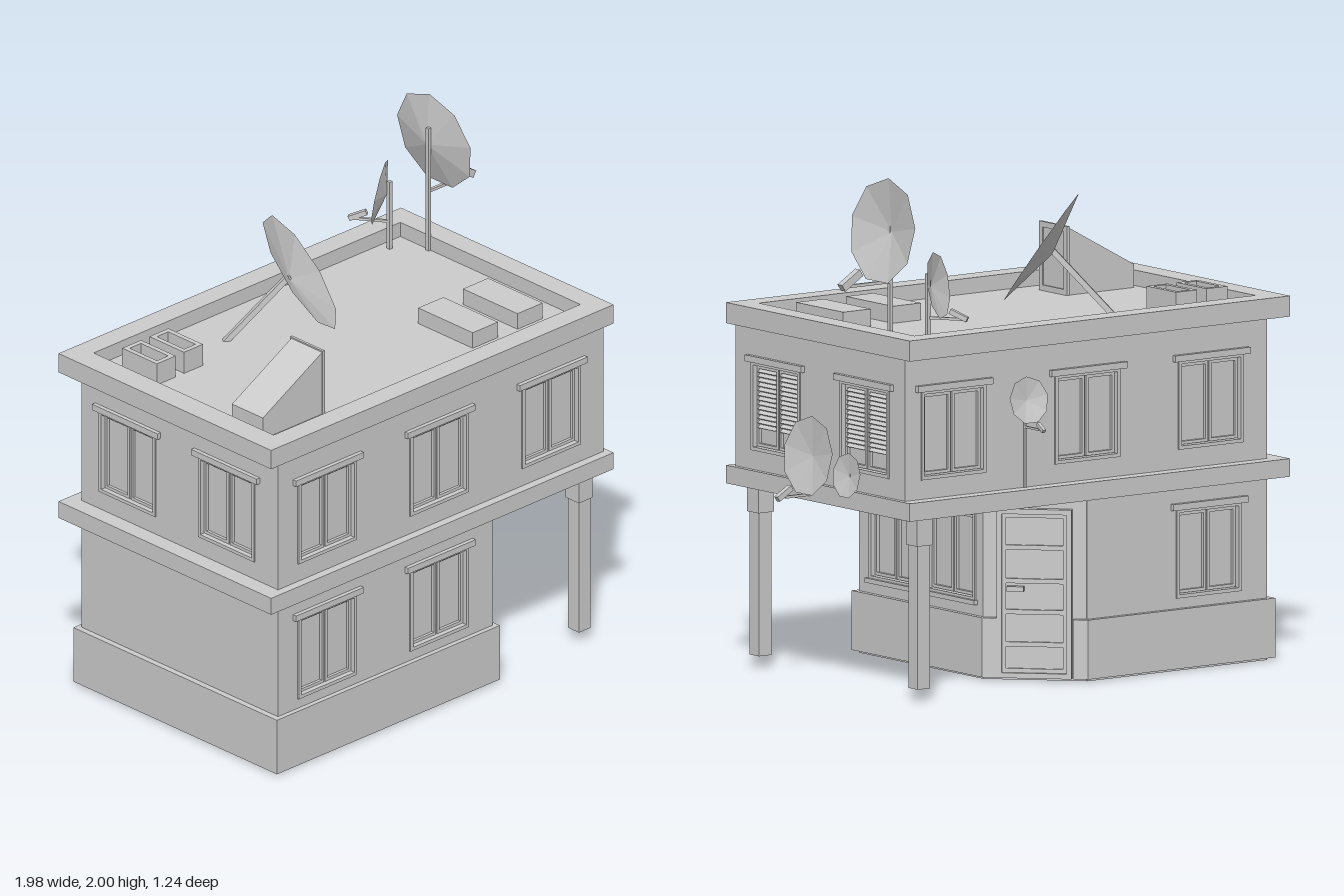
import * as THREE from 'three';

const mat = new THREE.MeshStandardMaterial({ color: 0xcccccc, flatShading: true });
const thin = new THREE.MeshStandardMaterial({ color: 0xcccccc, flatShading: true, side: THREE.DoubleSide });
const V = (x, y, z) => new THREE.Vector3(x, y, z);

function mesh(name, geo, parent, m = mat) {
  const o = new THREE.Mesh(geo, m);
  o.name = name;
  parent.add(o);
  return o;
}

// Box given by its lower and upper limits on each axis
function box(name, parent, x0, x1, y0, y1, z0, z1) {
  const o = mesh(name, new THREE.BoxGeometry(x1 - x0, y1 - y0, z1 - z0), parent);
  o.position.set((x0 + x1) / 2, (y0 + y1) / 2, (z0 + z1) / 2);
  return o;
}

// Square bar running from a to b
function beam(name, parent, a, b, w, d = w) {
  const o = mesh(name, new THREE.BoxGeometry(w, d, a.distanceTo(b)), parent);
  o.position.copy(a).lerp(b, 0.5);
  o.lookAt(b);
  return o;
}

function rect(C, x0, x1, y0, y1) {
  return new C([[x0, y0], [x1, y0], [x1, y1], [x0, y1]].map(p => new THREE.Vector2(...p)));
}

function extrude(shape, depth) {
  return new THREE.ExtrudeGeometry(shape, { depth, bevelEnabled: false });
}

// Rectangular frame in the xy plane, from z0 to z1
function frame(name, parent, x0, x1, y0, y1, b, z0, z1) {
  const s = rect(THREE.Shape, x0, x1, y0, y1);
  s.holes.push(rect(THREE.Path, x0 + b, x1 - b, y0 + b, y1 - b));
  mesh(name, extrude(s, z1 - z0), parent).position.z = z0;
}

// Two-sash window; local +z points out of the wall
function makeWindow(parent, x, y, { sill, blinds }) {
  const g = new THREE.Group();
  g.name = 'window';
  g.position.set(x, y, 0);
  frame('windowFrame', g, -0.155, 0.155, 0, 0.345, 0.014, -0.03, 0.006);
  box('glass', g, -0.15, 0.15, 0.005, 0.34, -0.03, -0.024);
  for (const c of [-0.071, 0.071]) {
    frame('sash', g, c - 0.068, c + 0.068, 0.016, 0.329, 0.012, -0.026, -0.012);
    if (blinds) for (let i = 0; i < 13; i++) {
      const s = box('blindSlat', g, c - 0.056, c + 0.056, 0, 0.003, -0.009, 0.009);
      s.position.set(c, 0.31 - i * 0.018, -0.014);
      s.rotation.x = 0.7;
    }
  }
  box('lintel', g, -0.18, 0.18, 0.342, 0.367, -0.01, 0.017);
  if (sill) box('windowSill', g, -0.165, 0.165, -0.014, 0.004, -0.01, 0.017);
  parent.add(g);
}

// Wall with window openings, outer face at local z = 0
function wall(name, parent, [cx, cz], turn, len, y0, y1, windows = [], wy = 0, opt = {}) {
  const g = new THREE.Group();
  g.name = name;
  const s = rect(THREE.Shape, -len / 2, len / 2, y0, y1);
  for (const x of windows) s.holes.push(rect(THREE.Path, x - 0.15, x + 0.15, wy + 0.005, wy + 0.34));
  mesh('wallPanel', extrude(s, 0.03), g).position.z = -0.03;
  for (const x of windows) makeWindow(g, x, wy, opt);
  g.position.set(cx, 0, cz);
  g.rotation.y = turn;
  parent.add(g);
  return g;
}

// Faceted dish facing direction n, centre of the rim at c
function dish(parent, c, n, r, depth) {
  const geo = new THREE.ConeGeometry(r, depth, 9, 1, true);
  geo.rotateX(-Math.PI / 2).translate(0, 0, -depth / 2);
  const o = mesh('dish', geo, parent, thin);
  o.position.copy(c);
  o.lookAt(c.clone().add(n));
}

function plan(points) {
  return new THREE.Shape(points.map(([x, z]) => new THREE.Vector2(x, -z)));
}

// Plan outline raised from y0 to y1
function raised(name, parent, shape, y0, y1) {
  const o = mesh(name, extrude(shape, y1 - y0).rotateX(-Math.PI / 2), parent);
  o.position.y = y0;
}

export function createModel() {
  const model = new THREE.Group();
  model.name = 'house';
  const H = Math.PI / 2;

  // Upper storey
  wall('upperFront', model, [-0.055, 0.585], 0, 1.73, 0.78, 1.33, [-0.605, -0.01, 0.585], 0.855);
  wall('upperBack', model, [-0.055, -0.495], Math.PI, 1.73, 0.78, 1.33, [-0.635, 0.005, 0.595], 0.855);
  wall('upperRight', model, [0.81, 0.045], H, 1.078, 0.78, 1.33, [-0.28, 0.285], 0.855, { blinds: true });
  wall('upperLeft', model, [-0.92, 0.045], -H, 1.078, 0.78, 1.33, [-0.285, 0.26], 0.855);

  // Lower storey with its cut corner
  wall('lowerFront', model, [-0.35, 0.585], 0, 1.14, 0, 0.71, [-0.31, 0.285], 0.28);
  wall('lowerBack', model, [-0.49, -0.495], Math.PI, 0.86, 0, 0.71, [0.15], 0.28);
  wall('lowerRight', model, [0.22, 0.185], H, 0.79, 0, 0.71, [-0.175, 0.19], 0.295, { sill: true });
  wall('lowerLeft', model, [-0.92, 0.045], -H, 1.078, 0, 0.71);
  const corner = wall('doorWall', model, [0.08, -0.35], 1.5 * H, 0.4, 0, 0.71);
  raised('groundFloor', model, plan([[0.2, -0.2], [0.2, 0.57], [-0.9, 0.57], [-0.9, -0.48], [-0.07, -0.48]]), 0.19, 0.21);

  // Door with cross bars and handle
  const door = new THREE.Group();
  door.name = 'door';
  frame('doorFrame', door, -0.145, 0.145, 0.01, 0.665, 0.02, 0, 0.03);
  box('doorLeaf', door, -0.126, 0.126, 0.03, 0.646, 0, 0.01);
  frame('doorRim', door, -0.126, 0.126, 0.03, 0.646, 0.016, 0.01, 0.018);
  for (const y of [0.14, 0.265, 0.385, 0.515]) box('doorBar', door, -0.11, 0.11, y - 0.009, y + 0.009, 0.01, 0.02);
  box('doorHandle', door, -0.105, -0.04, 0.345, 0.365, 0.01, 0.035);
  corner.add(door);

  // Skirt around the foot, open at the door
  raised('baseSkirt', model, plan([
    [0.2, -0.265], [0.24, -0.225], [0.24, 0.605], [-0.945, 0.605], [-0.945, -0.515], [-0.05, -0.515], [-0.01, -0.475],
    [-0.03, -0.45], [-0.07, -0.46], [-0.89, -0.46], [-0.89, 0.55], [0.19, 0.55], [0.19, -0.2], [0.175, -0.245],
  ]), 0.01, 0.24);

  // Floor band, roof deck and parapet
  box('floorBand', model, -0.99, 0.83, 0.71, 0.78, -0.55, 0.62);
  box('roofDeck', model, -0.95, 0.79, 1.33, 1.35, -0.5, 0.57);
  const rim = plan([[-0.99, 0.62], [0.83, 0.62], [0.83, -0.55], [-0.99, -0.55]]);
  rim.holes.push(rect(THREE.Path, -0.89, 0.74, -0.53, 0.46));
  raised('parapet', model, rim, 1.33, 1.41);

  // Pillars under the overhang
  for (const z of [0.545, -0.465]) {
    box('pillar', model, 0.69, 0.75, 0.045, 0.6, z - 0.03, z + 0.03);
    box('pillarHead', model, 0.683, 0.757, 0.6, 0.71, z - 0.036, z + 0.036);
  }

  // Sloped roof hut with its door
  const hut = new THREE.Shape([[-0.86, 1.34], [-0.54, 1.34], [-0.54, 1.615], [-0.86, 1.44]].map(p => new THREE.Vector2(...p)));
  mesh('roofHut', extrude(hut, 0.17), model).position.z = 0.27;
  const hutDoor = new THREE.Group();
  hutDoor.name = 'hutDoor';
  frame('hutDoorFrame', hutDoor, -0.09, 0.09, 1.35, 1.618, 0.022, -0.005, 0.006);
  hutDoor.position.set(-0.54, 0, 0.353);
  hutDoor.rotation.y = H;
  model.add(hutDoor);

  // Open vents and flat roof boxes
  for (const x of [-0.775, -0.63]) {
    const v = plan([[x - 0.05, -0.18], [x + 0.05, -0.18], [x + 0.05, -0.37], [x - 0.05, -0.37]]);
    v.holes.push(rect(THREE.Path, x - 0.03, x + 0.03, 0.2, 0.35));
    raised('roofVent', model, v, 1.35, 1.44);
  }
  for (const x of [0.332, 0.57]) box('roofBox', model, x - 0.067, x + 0.067, 1.35, 1.416, 0.13, 0.43);

  // Large roof dish on a leaning strut
  dish(model, V(-0.14, 1.625, -0.1), V(0.58, 0.56, 0.58), 0.255, 0.05);
  beam('dishStrut', model, V(-0.37, 1.34, -0.28), V(-0.17, 1.61, -0.13), 0.022);

  // Tall roof dish with mast, arm and feed
  dish(model, V(0.783, 1.8, -0.315), V(0.99, 0.14, 0), 0.205, 0.045);
  box('dishMast', model, 0.728, 0.743, 1.34, 1.87, -0.308, -0.293);
  beam('dishArm', model, V(0.735, 1.6, -0.303), V(0.94, 1.6, -0.303), 0.012);
  beam('dishFeed', model, V(0.885, 1.65, -0.303), V(0.97, 1.597, -0.303), 0.03);

  // Small roof dish facing the back
  dish(model, V(0.61, 1.59, -0.44), V(-0.57, 0.17, -0.81), 0.13, 0.03);
  box('dishMast', model, 0.632, 0.648, 1.34, 1.635, -0.423, -0.407);
  beam('dishArm', model, V(0.64, 1.465, -0.415), V(0.56, 1.465, -0.53), 0.01);
  beam('dishFeed', model, V(0.59, 1.495, -0.49), V(0.55, 1.465, -0.545), 0.02);

  // Two dishes on the side wall
  dish(model, V(0.843, 0.885, 0.08), V(0.99, 0.13, 0), 0.155, 0.025);
  beam('dishArm', model, V(0.8, 0.735, 0.087), V(0.945, 0.735, 0.087), 0.01);
  beam('dishFeed', model, V(0.92, 0.77, 0.087), V(0.985, 0.731, 0.087), 0.022);
  dish(model, V(0.843, 0.84, -0.165), V(0.99, 0.13, 0), 0.088, 0.015);
  beam('dishBracket', model, V(0.8, 0.84, -0.165), V(0.83, 0.84, -0.165), 0.014);

  // Dish on the back wall
  dish(model, V(0.24, 1.12, -0.525), V(0, 0.18, -0.98), 0.092, 0.018);
  beam('dishMast', model, V(0.24, 0.78, -0.5), V(0.24, 1.16, -0.5), 0.01);
  beam('dishArm', model, V(0.24, 1.015, -0.495), V(0.24, 1.015, -0.59), 0.008);
  beam('dishFeed', model, V(0.24, 1.037, -0.582), V(0.24, 1.012, -0.62), 0.014);

  return model;
}
